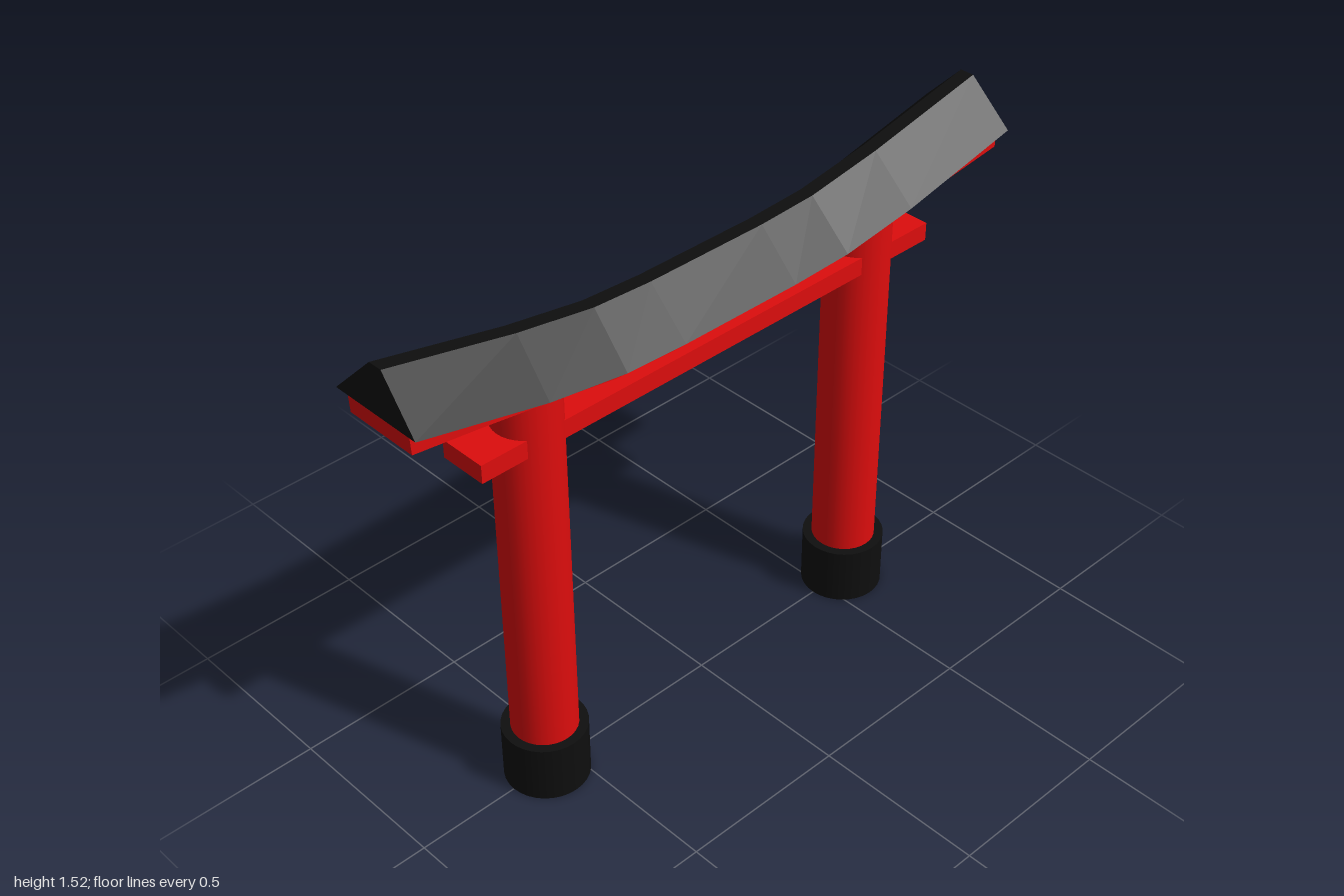
import * as THREE from 'three';

const red = new THREE.MeshStandardMaterial({ color: 0xdd0d0d });
const black = new THREE.MeshStandardMaterial({ color: 0x0e0e0e });
const flat = (m) => Object.assign(m.clone(), { flatShading: true });

function add(group, name, geometry, material, x = 0, y = 0, z = 0) {
  const mesh = new THREE.Mesh(geometry, material);
  mesh.name = name;
  mesh.position.set(x, y, z);
  group.add(mesh);
  return mesh;
}

// Closed solid swept along x through four-cornered cross-sections.
// Each half station is [xBottom, yBottom, xTop, yTop]; it is mirrored to -x.
function sweptBar(half, bottomWidth, topWidth) {
  const mirrored = half.map(([a, b, c, d]) => [-a, b, -c, d]).reverse();
  const rings = [...mirrored, ...half].map(([xb, yb, xt, yt]) => [
    [xb, yb, bottomWidth], [xt, yt, topWidth], [xt, yt, -topWidth], [xb, yb, -bottomWidth],
  ]);
  const pos = [];
  const quad = (a, b, c, d) => pos.push(...a, ...b, ...c, ...a, ...c, ...d);
  for (let i = 0; i < rings.length - 1; i++) {
    for (let j = 0; j < 4; j++) {
      const k = (j + 1) % 4;
      quad(rings[i][j], rings[i + 1][j], rings[i + 1][k], rings[i][k]);
    }
  }
  quad(...rings[0]);
  quad(...[...rings[rings.length - 1]].reverse());
  const g = new THREE.BufferGeometry();
  g.setAttribute('position', new THREE.Float32BufferAttribute(pos, 3));
  g.computeVertexNormals();
  return g;
}

export function createModel() {
  const gate = new THREE.Group();
  gate.name = 'gate';

  // Pillars with their footings
  for (const [side, s] of [['left', 1], ['right', -1]]) {
    add(gate, side + 'Pillar', new THREE.CylinderGeometry(0.092, 0.092, 1.2, 32), red, s * 0.578, 0.7);
    add(gate, side + 'Footing', new THREE.CylinderGeometry(0.118, 0.118, 0.173, 32), black, s * 0.578, 0.0865);
  }

  // Straight tie beam through both pillars
  add(gate, 'tieBeam', new THREE.BoxGeometry(1.55, 0.053, 0.142), red, 0, 1.146);

  // Curved lintel under the roof
  add(gate, 'lintel', sweptBar([
    [0.2, 1.241, 0.2, 1.275],
    [0.39, 1.25, 0.39, 1.285],
    [0.59, 1.284, 0.59, 1.315],
    [0.8, 1.315, 0.8, 1.358],
    [0.99, 1.34, 0.993, 1.398],
  ], 0.112, 0.112), flat(red));

  // Upswept roof with a flat ridge
  add(gate, 'roof', sweptBar([
    [0.19, 1.271, 0.19, 1.393],
    [0.38, 1.278, 0.372, 1.402],
    [0.62, 1.313, 0.608, 1.44],
    [1.0, 1.398, 0.987, 1.522],
  ], 0.144, 0.021), flat(black));

  // Tilted plaque hung on the back
  const plaque = add(gate, 'plaque', new THREE.BoxGeometry(0.144, 0.17, 0.018), black, 0, 1.164, -0.1);
  plaque.rotation.x = -0.24;

  return gate;
}
